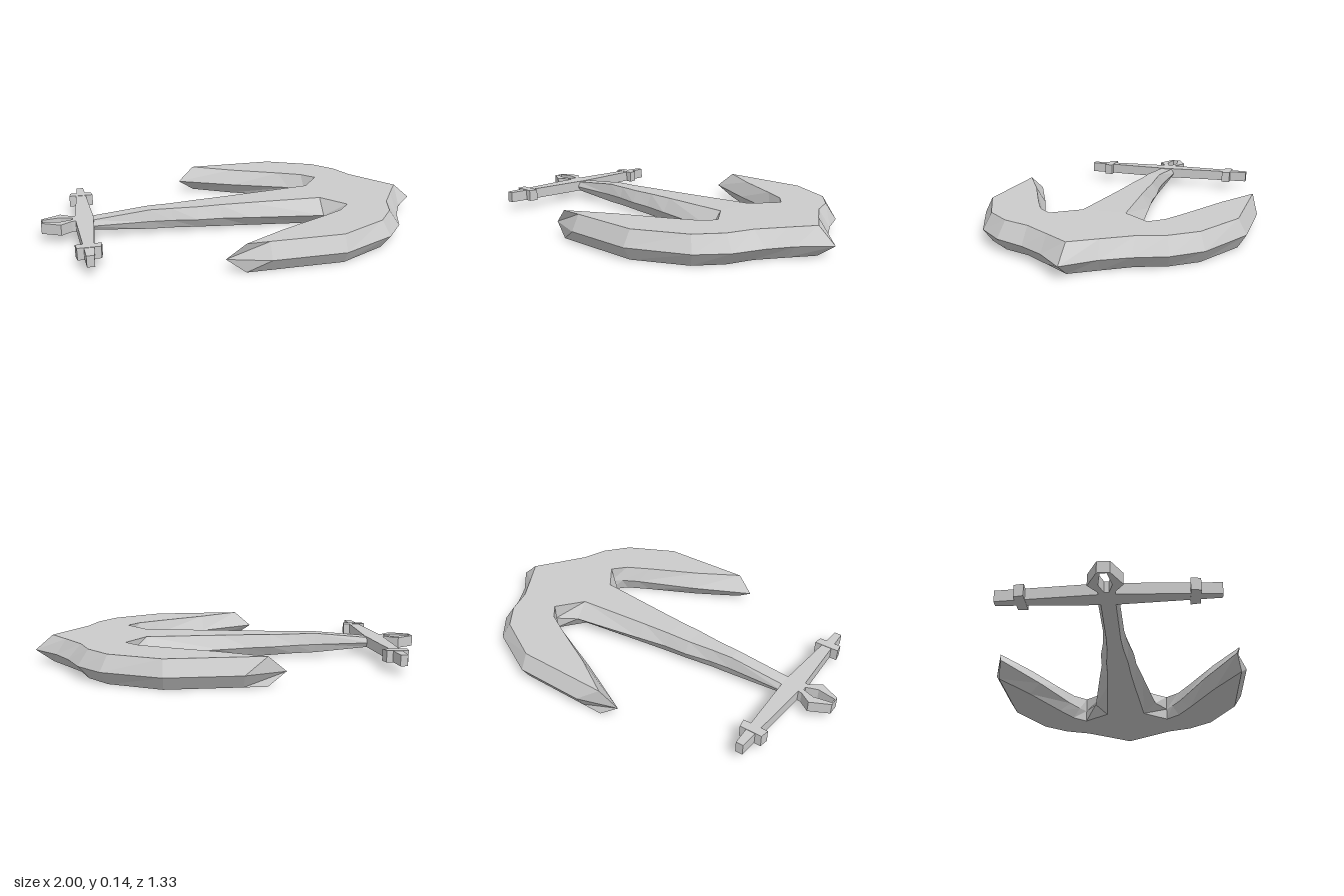
import * as THREE from 'three';

const material = new THREE.MeshStandardMaterial({ color: 0xcccccc, flatShading: true });

function addMesh(parent, name, geometry) {
  const mesh = new THREE.Mesh(geometry, material);
  mesh.name = name;
  parent.add(mesh);
  return mesh;
}

// Turns a list of [x, y, z] corners, three per triangle, into a geometry
function fromTriangles(corners) {
  const geometry = new THREE.BufferGeometry();
  geometry.setAttribute('position', new THREE.Float32BufferAttribute(corners.flat(), 3));
  geometry.computeVertexNormals();
  return geometry;
}

const quad = (a, b, c, d) => [a, b, c, a, c, d];

// Flat slab seen from above, from [x, z] points
function slab(points, y0, y1, hole) {
  const toVec = ([x, z]) => new THREE.Vector2(x, -z);
  const shape = new THREE.Shape(points.map(toVec));
  if (hole) shape.holes.push(new THREE.Path(hole.map(toVec)));
  const geometry = new THREE.ExtrudeGeometry(shape, { depth: y1 - y0, bevelEnabled: false });
  return geometry.rotateX(-Math.PI / 2).translate(0, y0, 0);
}

// Outline of half the arms: rim x, rim z, face x, face z
const ARM = [
  [0.43, 0.175, 0.43, 0.107], [0.53, 0.24, 0.53, 0.24], [0.48, 0.275, 0.47, 0.31],
  [0.4, 0.32, 0.35, 0.375], [0.1, 0.45, 0.1, 0.5], [-0.2, 0.6, -0.11, 0.625],
  [0, 0.665, 0, 0.625], [0.36, 0.665, 0.36, 0.625], [0.64, 0.53, 0.605, 0.5],
  [0.75, 0.4, 0.7, 0.38], [0.81, 0.25, 0.745, 0.25], [0.88, 0.13, 0.83, 0.12],
  [1, 0, 0.91, 0],
];
const TOP = 0.14, RIM = 0.063, BOTTOM = 0;

// Crown and both arms: sharp rim between a flat top and a flat underside
function armsGeometry() {
  const mirrored = ARM.slice(0, -1).reverse().map(([a, b, c, d]) => [a, -b, c, -d]);
  const outline = [...ARM, ...mirrored];
  const rim = outline.map(([x, z]) => [x, RIM, z]);
  const top = outline.map(([, , x, z]) => [x, TOP, z]);
  const bottom = outline.map(([, , x, z]) => [x, BOTTOM, z]);
  const corners = [];
  for (let i = 0; i < outline.length - 1; i++) {
    corners.push(...quad(rim[i], rim[i + 1], top[i + 1], top[i]));
    corners.push(...quad(bottom[i], bottom[i + 1], rim[i + 1], rim[i]));
  }
  const flat = top.map(([x, , z]) => new THREE.Vector2(x, -z));
  for (const [i, j, k] of THREE.ShapeUtils.triangulateShape(flat, [])) {
    const ccw = THREE.ShapeUtils.area([flat[i], flat[j], flat[k]]) > 0;
    const [p, q] = ccw ? [j, k] : [k, j];
    corners.push(top[i], top[p], top[q], bottom[i], bottom[q], bottom[p]);
  }
  return fromTriangles(corners);
}

// Shank sections: x, half width at rim, half width of face, top y, bottom y
const SHANK = [
  [-0.76, 0.048, 0.033, 0.095, 0.045], [-0.46, 0.05, 0.034, 0.125, 0.022],
  [-0.35, 0.06, 0.04, 0.125, 0.021], [-0.22, 0.083, 0.054, 0.127, 0.018],
  [-0.1, 0.09, 0.06, 0.13, 0.013], [0.05, 0.115, 0.072, 0.133, 0.009],
  [0.43, 0.175, 0.107, TOP, BOTTOM],
];

function shankGeometry() {
  const rings = SHANK.map(([x, rim, face, y1, y0]) => {
    const mid = RIM + 0.006 * (0.43 - x) / 1.19;
    return [[x, y1, face], [x, mid, rim], [x, y0, face], [x, y0, -face], [x, mid, -rim], [x, y1, -face]];
  });
  const corners = [];
  for (let s = 0; s < rings.length - 1; s++) {
    for (let i = 0; i < 6; i++) {
      const j = (i + 1) % 6;
      corners.push(...quad(rings[s][i], rings[s][j], rings[s + 1][j], rings[s + 1][i]));
    }
  }
  // Narrow end
  for (let i = 1; i < 5; i++) corners.push(rings[0][0], rings[0][i + 1], rings[0][i]);
  return fromTriangles(corners);
}

export function createModel() {
  const anchor = new THREE.Group();
  anchor.name = 'anchor';
  addMesh(anchor, 'crownAndArms', armsGeometry());
  addMesh(anchor, 'shank', shankGeometry());

  // Tapered crossbar
  const cx = -0.788;
  addMesh(anchor, 'stock', slab([
    [cx - 0.018, 0.493], [cx + 0.018, 0.493], [cx + 0.046, 0],
    [cx + 0.018, -0.493], [cx - 0.018, -0.493], [cx - 0.046, 0],
  ], 0.045, 0.1));

  // Collars near the ends of the crossbar
  for (const side of [1, -1]) {
    const collar = [[cx - 0.062, 0.355], [cx - 0.055, 0.4], [cx + 0.055, 0.4], [cx + 0.062, 0.355]];
    addMesh(anchor, side > 0 ? 'frontCollar' : 'backCollar',
      slab(collar.map(([x, z]) => [x, z * side]), 0.043, 0.102));
  }

  // Angular shackle with a slot through it
  const mirror = (half) => [...half, ...half.map(([x, z]) => [x, -z]).reverse()];
  addMesh(anchor, 'shackle', slab(
    mirror([[-1, 0.028], [-0.905, 0.077], [-0.85, 0.038], [-0.82, 0.035]]), 0.045, 0.1,
    mirror([[-0.994, 0.014], [-0.905, 0.03], [-0.847, 0.01]])));

  return anchor;
}
